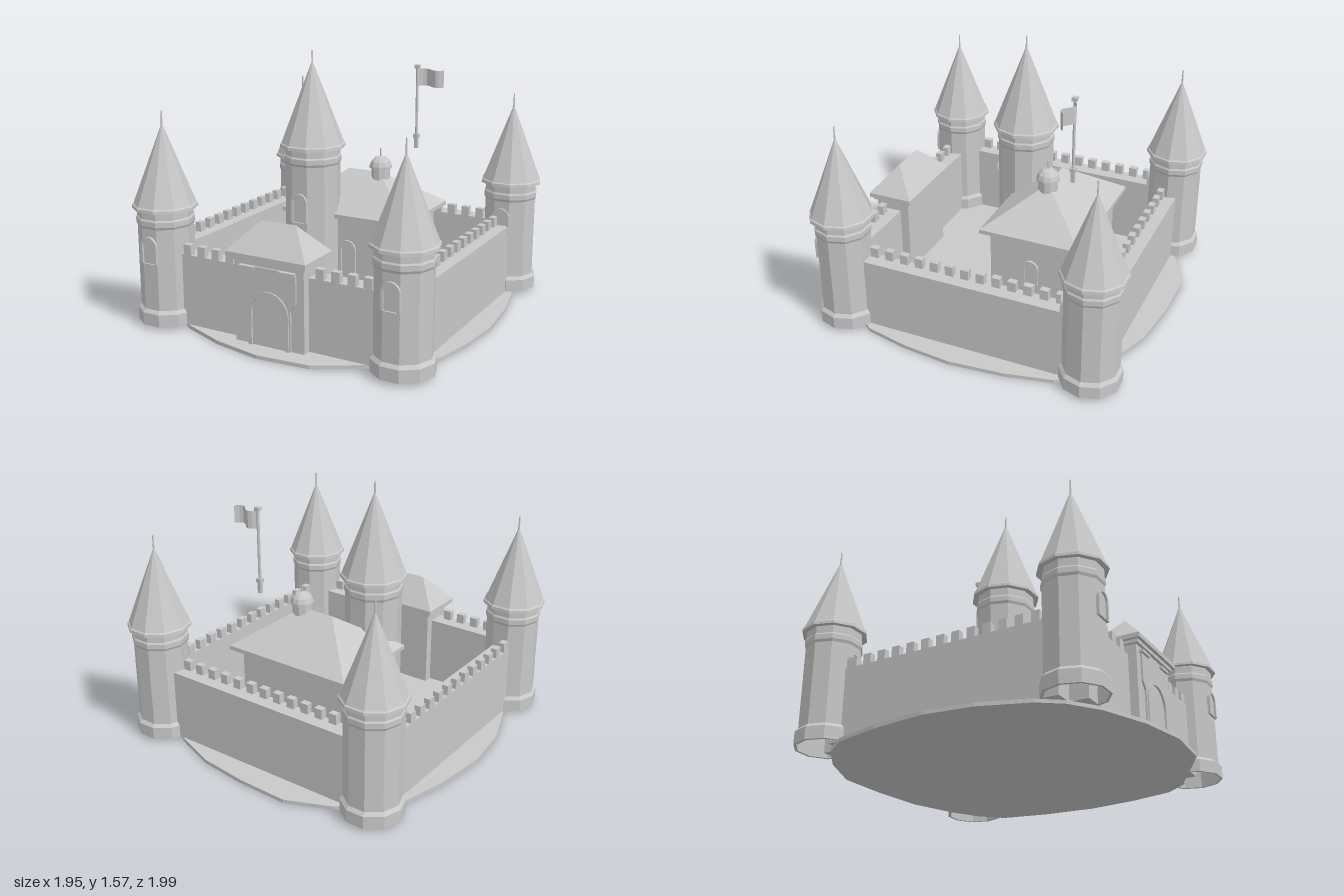
import * as THREE from 'three';
import { ConvexGeometry } from 'three/addons/geometries/ConvexGeometry.js';

const stone = new THREE.MeshStandardMaterial({ color: 0xc8c8c8, flatShading: true, side: THREE.DoubleSide });
stone.name = 'stone grey';

function add(parent, name, geometry, x = 0, y = 0, z = 0) {
  const mesh = new THREE.Mesh(geometry, stone);
  mesh.name = name;
  mesh.position.set(x, y, z);
  parent.add(mesh);
  return mesh;
}

// Box given by its limits on each axis
function block(parent, name, x0, x1, y0, y1, z0, z1) {
  return add(parent, name, new THREE.BoxGeometry(x1 - x0, y1 - y0, z1 - z0),
    (x0 + x1) / 2, (y0 + y1) / 2, (z0 + z1) / 2);
}

// Faceted turned part with a corner on the x axis
function turned(parent, name, points, sides = 10) {
  const profile = points.map(([r, y]) => new THREE.Vector2(r, y));
  return add(parent, name, new THREE.LatheGeometry(profile, sides, Math.PI / 2));
}

// Round-topped outline standing on y = 0
function archOutline(target, half, height) {
  target.moveTo(-half, 0);
  target.lineTo(half, 0);
  target.lineTo(half, height - half);
  target.absarc(0, height - half, half, 0, Math.PI, false);
  target.lineTo(-half, 0);
  return target;
}

// Raised arch frame around a thin inset panel, facing +z
function archOpening(parent, name, half, height, rim, depth, x, y, z) {
  const group = new THREE.Group();
  group.name = name;
  group.position.set(x, y, z);
  const frame = archOutline(new THREE.Shape(), half, height);
  frame.holes.push(archOutline(new THREE.Path(), half - rim, height - rim));
  add(group, 'archFrame', new THREE.ExtrudeGeometry(frame, { depth, bevelEnabled: false, curveSegments: 8 }));
  const panel = archOutline(new THREE.Shape(), half - rim, height - rim);
  add(group, 'archPanel', new THREE.ExtrudeGeometry(panel, { depth: depth * 0.4, bevelEnabled: false, curveSegments: 8 }));
  parent.add(group);
  return group;
}

// Hipped roof with a short vertical eave
function hipRoof(parent, name, x0, x1, z0, z1, y0, y1, ridge0, ridge1, ridgeY) {
  const points = [];
  for (const x of [x0, x1]) for (const z of [z0, z1]) for (const y of [y0, y1])
    points.push(new THREE.Vector3(x, y, z));
  for (const x of [ridge0, ridge1]) points.push(new THREE.Vector3(x, ridgeY, (z0 + z1) / 2));
  return add(parent, name, new ConvexGeometry(points));
}

// Ten-sided tower with plinth, collar, pointed roof, finial and front window
function tower(parent, name, x, z, body, roof, eave, apex, tip, windowY, windowHeight) {
  const group = new THREE.Group();
  group.name = name;
  group.position.set(x, 0, z);
  turned(group, 'plinth', [[body + 0.002, 0.02], [body + 0.018, 0.02], [body + 0.018, 0.095], [body, 0.115]]);
  turned(group, 'shaft', [[body, 0.02], [body, eave - 0.1], [body + 0.007, eave - 0.085],
    [body + 0.007, eave - 0.055], [body, eave - 0.045], [body, eave + 0.01]]);
  turned(group, 'roof', [[body, eave], [roof, eave], [roof - 0.002, eave + 0.018],
    [roof - 0.01, eave + 0.025], [0, apex]]);
  add(group, 'finial', new THREE.CylinderGeometry(0.004, 0.006, tip - apex + 0.03, 6), 0, (tip + apex - 0.03) / 2, 0);
  archOpening(group, 'window', 0.055, windowHeight, 0.014, 0.018, 0, windowY, body * 0.951 - 0.003);
  parent.add(group);
}

export function createModel() {
  const castle = new THREE.Group();
  castle.name = 'castle';

  // Uneven ground plate
  const outline = [
    [0, 0.99], [0.32, 0.965], [0.59, 0.81], [0.78, 0.7], [0.88, 0.57], [0.94, 0.3], [0.97, 0], [0.94, -0.33],
    [0.88, -0.61], [0.76, -0.74], [0.586, -0.845], [0.31, -0.95], [0, -0.99], [-0.317, -1], [-0.58, -0.89],
    [-0.76, -0.76], [-0.87, -0.61], [-0.94, -0.33], [-0.98, 0], [-0.945, 0.29], [-0.845, 0.57], [-0.75, 0.7],
    [-0.58, 0.82], [-0.3, 0.93],
  ].map(([x, z]) => new THREE.Vector2(x, -z));
  const plate = new THREE.ExtrudeGeometry(new THREE.Shape(outline), { depth: 0.022, bevelEnabled: false });
  add(castle, 'groundPlate', plate.rotateX(-Math.PI / 2));

  // Corner towers and the taller keep tower
  for (const x of [-0.77, 0.78]) for (const z of [0.762, -0.787])
    tower(castle, 'cornerTower', x, z, 0.163, 0.192, 0.705, 1.2, 1.27, 0.4, 0.16);
  tower(castle, 'keepTower', -0.205, 0.028, 0.17, 0.202, 0.985, 1.51, 1.57, 0.54, 0.18);

  // Curtain walls
  const wallTop = 0.45;
  block(castle, 'frontWall', -0.72, 0.72, 0.02, wallTop, 0.70, 0.81);
  block(castle, 'backWall', -0.72, 0.72, 0.02, wallTop, -0.84, -0.73);
  block(castle, 'leftWall', 0.72, 0.83, 0.02, wallTop, -0.72, 0.7);
  block(castle, 'rightWall', -0.83, -0.72, 0.02, wallTop, -0.72, 0.7);

  // Battlements
  const merlon = (x, z, sx, sz) => add(castle, 'merlon', new THREE.BoxGeometry(sx, 0.06, sz), x, wallTop + 0.03, z);
  for (let i = 0; i < 13; i++) {
    const x = -0.585 + i * 0.098;
    if (Math.abs(x) > 0.25) merlon(x, 0.79, 0.05, 0.038);
    merlon(x, -0.75, 0.05, 0.038);
    const z = -0.59 + i * 0.097;
    merlon(-0.81, z, 0.038, 0.05);
    merlon(0.74, z, 0.038, 0.05);
  }

  // Gatehouse
  const gate = new THREE.Group();
  gate.name = 'gatehouse';
  castle.add(gate);
  block(gate, 'gateBody', -0.218, 0.23, 0.02, 0.51, 0.645, 0.86);
  block(gate, 'gateCornice', -0.235, 0.245, 0.505, 0.53, 0.63, 0.878);
  hipRoof(gate, 'gateRoof', -0.255, 0.262, 0.612, 0.897, 0.525, 0.552, -0.105, 0.12, 0.715);
  const surround = new THREE.Shape();
  [[-0.14, 0], [0.14, 0], [0.14, 0.24], [0.175, 0.28], [0.175, 0.46], [-0.175, 0.46], [-0.175, 0.28], [-0.14, 0.24]]
    .forEach(([x, y], i) => (i ? surround.lineTo(x, y) : surround.moveTo(x, y)));
  surround.holes.push(archOutline(new THREE.Path(), 0.128, 0.325));
  add(gate, 'gateSurround', new THREE.ExtrudeGeometry(surround, { depth: 0.012, bevelEnabled: false }), 0.008, 0.022, 0.859);
  archOpening(gate, 'gateDoor', 0.13, 0.328, 0.02, 0.02, 0.008, 0.022, 0.859);
  for (const x of [-0.13, 0.13])
    block(gate, 'gateLedge', x - 0.05, x + 0.05, 0.465, 0.482, 0.855, 0.885);

  // Great hall
  const hall = new THREE.Group();
  hall.name = 'hall';
  castle.add(hall);
  block(hall, 'hallBody', -0.365, 0.372, 0.02, 0.55, -0.505, 0.008);
  block(hall, 'hallCornice', -0.38, 0.39, 0.538, 0.56, -0.52, 0.02);
  hipRoof(hall, 'hallRoof', -0.415, 0.428, -0.565, 0.055, 0.555, 0.58, -0.105, 0.115, 0.8);
  archOpening(hall, 'hallDoor', 0.055, 0.39, 0.014, 0.016, 0.03, 0.022, 0.006);
  archOpening(hall, 'hallWindow', 0.05, 0.16, 0.014, 0.016, 0.37, 0.25, -0.25).rotation.y = Math.PI / 2;

  // Domed lantern on the hall ridge
  const lantern = new THREE.Group();
  lantern.name = 'lantern';
  lantern.position.set(0.118, 0, -0.252);
  hall.add(lantern);
  turned(lantern, 'lanternDrum', [[0.058, 0.66], [0.058, 0.835]]);
  turned(lantern, 'lanternDome', [[0, 0.828], [0.07, 0.828], [0.07, 0.842], [0.06, 0.87], [0.038, 0.893], [0, 0.905]]);
  add(lantern, 'lanternFinial', new THREE.CylinderGeometry(0.004, 0.006, 0.06, 6), 0, 0.922, 0);

  // Flag on its pole
  const flag = new THREE.Group();
  flag.name = 'flagpole';
  flag.position.set(0.262, 0, -0.46);
  castle.add(flag);
  block(flag, 'poleFoot', -0.011, 0.011, 0.93, 1, -0.011, 0.011);
  block(flag, 'poleCollar', -0.016, 0.016, 0.995, 1.02, -0.016, 0.016);
  add(flag, 'pole', new THREE.CylinderGeometry(0.009, 0.009, 0.42, 8), 0, 1.225, 0);
  block(flag, 'poleCap', -0.015, 0.015, 1.432, 1.455, -0.015, 0.015);
  const cloth = new THREE.PlaneGeometry(0.17, 0.105, 8, 1);
  const p = cloth.attributes.position;
  for (let i = 0; i < p.count; i++) p.setZ(i, -0.03 * Math.sin((p.getX(i) / 0.17 + 0.5) * Math.PI * 2));
  add(flag, 'flagCloth', cloth, 0.093, 1.377, 0);

  return castle;
}
